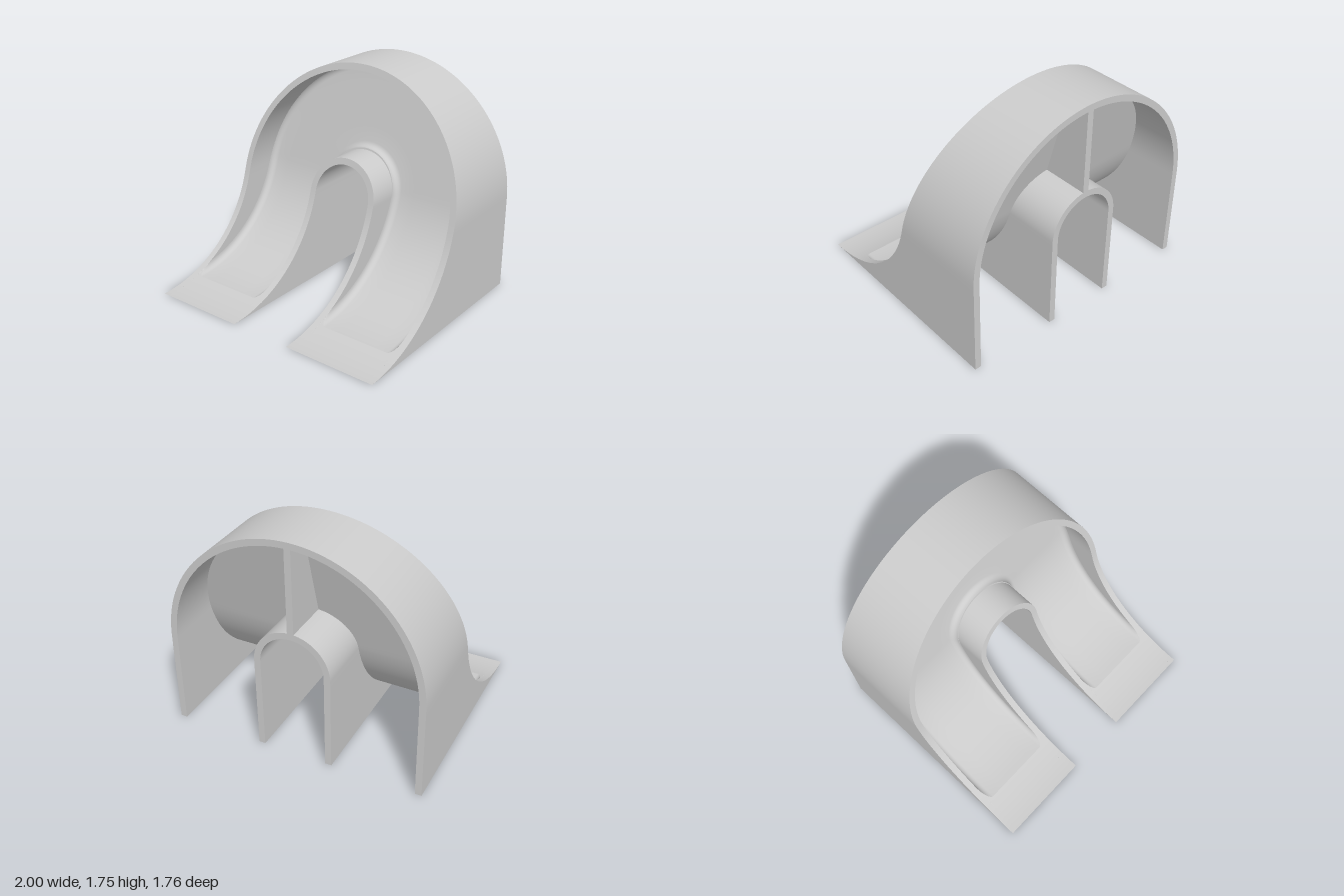
import * as THREE from 'three';
import { toCreasedNormals } from 'three/addons/utils/BufferGeometryUtils.js';

const BACK = -0.88, TIP = 0.88, SPRING = 0.75; // back plane, front tip, height where the arch begins
const WALL = 0.05, FILLET = 0.05, LEAN = THREE.MathUtils.degToRad(75);
const POCKET_Z = 0.57, POCKET_Y = 0.05; // lower front edge of the recessed floor
const material = new THREE.MeshStandardMaterial({ color: 0xcccccc });

// Side profile: unit-radius sweep rising into a straight slope, starting at (z0, y0)
function profile(y, z0, y0) {
  const h = Math.max(0, y - y0), top = 1 - Math.cos(LEAN);
  if (h < top) {
    const a = Math.acos(1 - h);
    return { z: z0 - Math.sin(a), a };
  }
  return { z: z0 - Math.sin(LEAN) - (h - top) / Math.tan(LEAN), a: LEAN };
}
const frontZ = (y) => profile(y, TIP, 0).z;

// Arch-shaped path as functions of radius: up the left leg, over, down the right leg
function archPath(y0) {
  const path = [], LEG = 28, ARC = 72;
  const legY = (i) => y0 + (SPRING - y0) * (i / LEG) ** 2;
  for (let i = 0; i < LEG; i++) path.push((r) => [r, legY(i)]);
  for (let i = 0; i <= ARC; i++) {
    const t = (Math.PI * i) / ARC;
    path.push((r) => [r * Math.cos(t), SPRING + r * Math.sin(t)]);
  }
  for (let i = LEG - 1; i >= 0; i--) path.push((r) => [-r, legY(i)]);
  return path;
}

// Surface from rows of points; flip reverses the facing, caps closes tube ends
function loft(rows, { flip = false, closed = false } = {}) {
  const n = rows[0].length, index = [];
  const tri = (a, b, c) => (flip ? index.push(a, c, b) : index.push(a, b, c));
  for (let i = 0; i < rows.length - 1; i++) {
    for (let j = 0; j < (closed ? n : n - 1); j++) {
      const k = (j + 1) % n, a = i * n + j, b = a + n, c = i * n + k, d = c + n;
      tri(a, b, c);
      tri(b, d, c);
    }
  }
  if (closed) {
    const e = (rows.length - 1) * n;
    for (let j = 1; j < n - 1; j++) {
      tri(0, j, j + 1);
      tri(e, e + j + 1, e + j);
    }
  }
  const g = new THREE.BufferGeometry();
  g.setAttribute('position', new THREE.Float32BufferAttribute(rows.flat(2), 3));
  g.setIndex(index);
  return toCreasedNormals(g, 0.5);
}

// Arched wall with its front edge cut to the side profile
function archWall(outer) {
  const rows = archPath(0).map((at) => {
    const [ox, oy] = at(outer), [ix, iy] = at(outer - WALL);
    return [[ox, oy, BACK], [ox, oy, frontZ(oy)], [ix, iy, frontZ(iy)], [ix, iy, BACK]];
  });
  return loft(rows, { closed: true });
}

// Stations across the floor from inner to outer wall, with the fillet height at each
function floorStations() {
  const side = [{ d: -0.015, rise: FILLET }];
  for (let i = 0; i <= 6; i++) {
    const t = (i / 6) * Math.PI / 2;
    side.push({ d: FILLET * (1 - Math.cos(t)), rise: FILLET * (1 - Math.sin(t)) });
  }
  const inner = side.map(({ d, rise }) => ({ r: 0.3 + d, rise }));
  const middle = [0.46, 0.57, 0.68, 0.79].map((r) => ({ r, rise: 0 }));
  const outer = side.map(({ d, rise }) => ({ r: 0.95 - d, rise })).reverse();
  return [...inner, ...middle, ...outer];
}

// Recessed floor surface, shifted along its normal by offset(station)
function floorRows(offset) {
  return archPath(POCKET_Y).map((at) => floorStations().map((s) => {
    const [x, y] = at(s.r), { z, a } = profile(y, POCKET_Z, POCKET_Y), o = offset(s);
    const py = y + o * Math.cos(a);
    return [x, py, Math.min(z + o * Math.sin(a), frontZ(py))];
  }));
}

export function createModel() {
  const model = new THREE.Group();
  model.name = 'archedSlope';
  const add = (name, geometry, parent = model) => {
    const mesh = new THREE.Mesh(geometry, material);
    mesh.name = name;
    parent.add(mesh);
    return mesh;
  };

  add('outerWall', archWall(1));
  add('innerWall', archWall(0.3));

  // Recessed floor with filleted edges, and its plain underside
  const floor = new THREE.Group();
  floor.name = 'recessedFloor';
  model.add(floor);
  add('floorFront', loft(floorRows((s) => s.rise), { flip: true }), floor);
  add('floorBack', loft(floorRows(() => -WALL)), floor);

  // Thin wedge lip at the foot of each leg
  for (const side of [-1, 1]) {
    const lip = new THREE.Group();
    lip.name = side > 0 ? 'leftLip' : 'rightLip';
    model.add(lip);
    const across = floorStations().slice(1, -1);
    const top = across.map(({ r, rise }) => Array.from({ length: 13 }, (_, k) => {
      const y = (POCKET_Y + rise) * (k / 12) ** 2;
      return [r - 0.625 + side * 0.625, y, frontZ(y)];
    }));
    add('lipTop', loft(top), lip);
    const base = [0.3, 0.95].map((r) => [TIP, POCKET_Z].map((z) => [r - 0.625 + side * 0.625, 0, z]));
    add('lipBase', loft(base, { flip: true }), lip);
  }

  // Central rib behind the floor, joining the two arches
  const ribFront = (y) => profile(y, POCKET_Z, POCKET_Y).z - 0.025;
  const ribShape = new THREE.Shape([
    [-BACK, 1.03], [-ribFront(1.03), 1.03], [-ribFront(1.72), 1.72], [-BACK, 1.72],
  ].map(([x, y]) => new THREE.Vector2(x, y)));
  const rib = new THREE.ExtrudeGeometry(ribShape, { depth: WALL, bevelEnabled: false });
  rib.translate(0, 0, -WALL / 2).rotateY(Math.PI / 2);
  add('centreRib', rib);

  return model;
}
